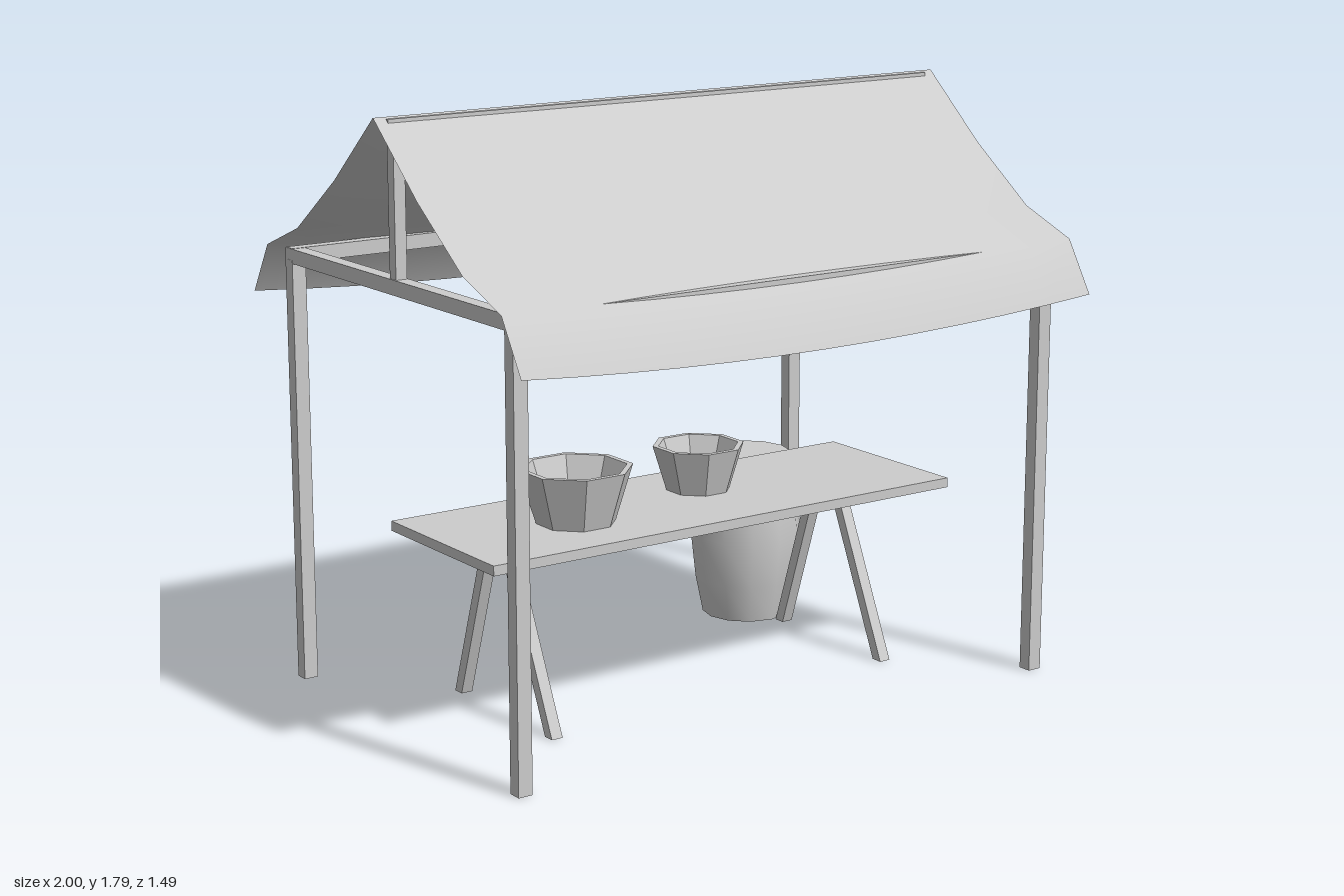
import * as THREE from 'three';
import { toCreasedNormals } from 'three/addons/utils/BufferGeometryUtils.js';

const grey = new THREE.MeshStandardMaterial({ color: 0xcccccc });
grey.name = 'plain grey';
const greyFlat = new THREE.MeshStandardMaterial({ color: 0xcccccc, flatShading: true });
greyFlat.name = 'plain grey';
const greyCloth = new THREE.MeshStandardMaterial({ color: 0xcccccc, side: THREE.DoubleSide });
greyCloth.name = 'plain grey';

export function createModel() {
  const model = new THREE.Group();
  model.name = 'marketStall';

  const add = (name, geometry, material = grey, parent = model) => {
    const mesh = new THREE.Mesh(geometry, material);
    mesh.name = name;
    parent.add(mesh);
    return mesh;
  };

  // Box given by its extents on each axis
  const box = (name, [x0, x1], [y0, y1], [z0, z1], parent = model) => {
    const mesh = add(name, new THREE.BoxGeometry(x1 - x0, y1 - y0, z1 - z0), grey, parent);
    mesh.position.set((x0 + x1) / 2, (y0 + y1) / 2, (z0 + z1) / 2);
    return mesh;
  };
  const around = (c, w) => [c - w / 2, c + w / 2];

  // Timber frame
  const frame = new THREE.Group();
  frame.name = 'frame';
  model.add(frame);
  for (const sx of [-1, 1]) {
    for (const sz of [-1, 1]) {
      box('post', around(sx * 0.93, 0.045), [0, 1.3], around(sz * 0.61, 0.042), frame);
    }
    box('crossBeam', around(sx * 0.93, 0.044), [1.29, 1.334], [-0.631, 0.631], frame);
    box('kingPost', around(sx * 0.93, 0.036), [1.33, 1.75], around(0, 0.034), frame);
  }
  for (const sz of [-1, 1]) {
    box('eaveBeam', [-0.95, 0.95], [1.291, 1.335], around(sz * 0.61, 0.04), frame);
  }
  box('ridgeBeam', [-0.963, 0.963], [1.745, 1.785], around(0, 0.036), frame);

  // Cloth canopy: [z, y at the ends, sag at the middle] from ridge to hem
  const profile = [[0, 1.79, 0], [0.23, 1.588, 0.012], [0.46, 1.42, 0.028], [0.652, 1.345, 0.035], [0.745, 1.19, 0.042]];
  const columns = 12;
  const cloth = new THREE.PlaneGeometry(2, 1, columns, profile.length - 1);
  const pos = cloth.attributes.position;
  for (let i = 0; i < pos.count; i++) {
    const [z, y, sag] = profile[Math.floor(i / (columns + 1))];
    const x = pos.getX(i);
    pos.setXYZ(i, x, y - sag * (1 - x * x), z);
  }
  cloth.computeVertexNormals();
  add('frontCanopy', cloth, greyCloth);
  add('backCanopy', cloth, greyCloth).rotation.y = Math.PI;

  // Trestle table with slanted legs cut level at both ends
  const table = new THREE.Group();
  table.name = 'table';
  model.add(table);
  box('tableTop', [-0.83, 0.83], [0.53, 0.56], [-0.25, 0.32], table);
  for (const x of [-0.612, 0.606]) {
    for (const [zBottom, zTop] of [[0.282, 0.042], [-0.217, -0.04]]) {
      const leg = new THREE.BoxGeometry(0.037, 0.532, 0.037);
      const p = leg.attributes.position;
      for (let i = 0; i < p.count; i++) {
        p.setZ(i, p.getZ(i) + (p.getY(i) > 0 ? zTop : zBottom));
      }
      leg.computeVertexNormals();
      add('tableLeg', leg, grey, table).position.set(x, 0.266, 0);
    }
  }

  // Hollow eight-sided bowls
  const bowl = (name, x, z, rTop, rBottom, h) => {
    const wall = 0.018;
    const points = [[0, 0], [rBottom, 0], [rTop, h], [rTop - wall, h], [rBottom - wall, wall], [0, wall]]
      .map(([r, y]) => new THREE.Vector2(r, y));
    add(name, new THREE.LatheGeometry(points, 8, Math.PI / 8), greyFlat).position.set(x, 0.56, z);
  };
  bowl('largeBowl', -0.388, 0.067, 0.172, 0.12, 0.166);
  bowl('smallBowl', 0.125, -0.03, 0.143, 0.1, 0.14);

  // Barrel with rounded staves and flat ends
  const staves = [[0, 0], [0.142, 0], [0.166, 0.12], [0.182, 0.27], [0.166, 0.42], [0.142, 0.538], [0, 0.538]]
    .map(([r, y]) => new THREE.Vector2(r, y));
  add('barrel', toCreasedNormals(new THREE.LatheGeometry(staves, 12), 0.9)).position.set(0.575, 0, -0.383);

  // Lantern hanging from the ridge
  const lantern = new THREE.Group();
  lantern.name = 'lantern';
  model.add(lantern);
  box('cord', around(0, 0.01), [1.42, 1.75], around(0, 0.01), lantern);
  box('lanternCap', around(0, 0.14), [1.405, 1.43], around(0, 0.14), lantern);
  const glass = new THREE.CylinderGeometry(0.047 * Math.SQRT2, 0.029 * Math.SQRT2, 0.16, 4, 1, false, Math.PI / 4);
  add('lanternBody', glass, greyFlat, lantern).position.y = 1.325;
  box('lanternBase', around(0, 0.09), [1.235, 1.252], around(0, 0.09), lantern);
  const foot = new THREE.CylinderGeometry(0.033 * Math.SQRT2, 0.027 * Math.SQRT2, 0.045, 4, 1, false, Math.PI / 4);
  add('lanternFoot', foot, greyFlat, lantern).position.y = 1.27;

  return model;
}
